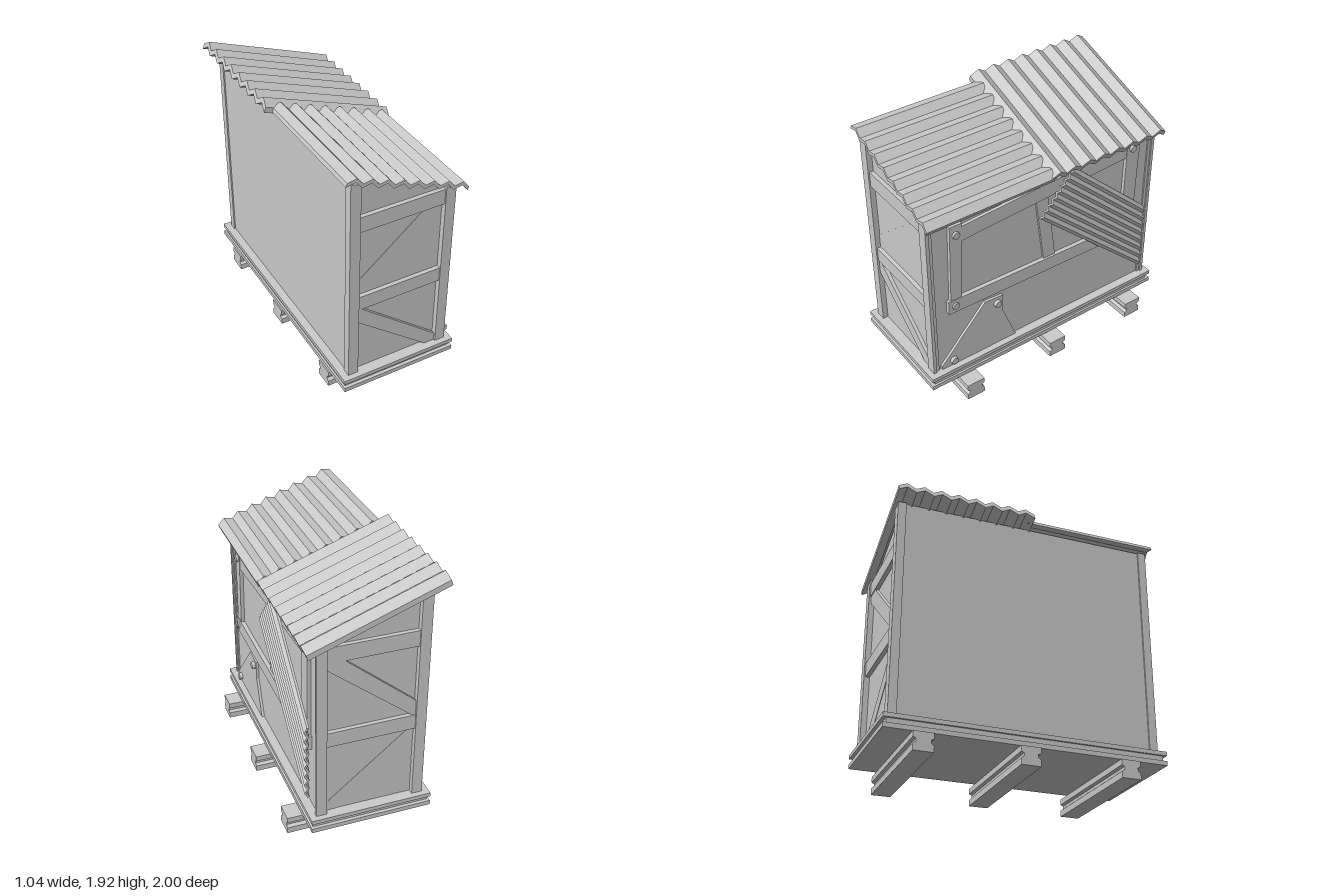
import * as THREE from 'three';

const mat = new THREE.MeshStandardMaterial({ color: 0xcccccc, flatShading: true });
const roofY = x => 1.665 - 0.362 * x; // underside of the sloping roof

export function createModel() {
  const model = new THREE.Group();

  const add = (name, geo) => {
    const m = new THREE.Mesh(geo, mat);
    m.name = name;
    model.add(m);
    return m;
  };
  const box = (name, x0, x1, y0, y1, z0, z1) =>
    add(name, new THREE.BoxGeometry(x1 - x0, y1 - y0, z1 - z0)
      .translate((x0 + x1) / 2, (y0 + y1) / 2, (z0 + z1) / 2));
  const extrude = (pts, depth) => new THREE.ExtrudeGeometry(
    new THREE.Shape(pts.map(p => new THREE.Vector2(...p))), { depth, bevelEnabled: false });
  // outline in (x, y), extruded from z0 to z1
  const slabZ = (name, pts, z0, z1) => add(name, extrude(pts, z1 - z0).translate(0, 0, z0));
  // outline in (z, y), extruded from x0 to x1
  const slabX = (name, pts, x0, x1) => add(name,
    extrude(pts.map(([z, y]) => [-z, y]), x1 - x0).rotateY(Math.PI / 2).translate(x0, 0, 0));
  // upright piece whose top follows the roof slope
  const upright = (name, x0, x1, z0, z1) =>
    slabZ(name, [[x0, 0.23], [x1, 0.23], [x1, roofY(x1)], [x0, roofY(x0)]], z0, z1);

  // zigzag sheet: waves along u, thickness along w, ridges along u x w;
  // len0 and len1 are the ridge lengths at the two side edges
  const corrugated = (name, waves, width, amp, thick, len0, len1, origin, u, w) => {
    const top = [], bottom = [];
    for (let i = 0; i <= waves * 2; i++) {
      const a = (i / (waves * 2)) * width;
      const b = i % 2 ? amp / 2 : -amp / 2;
      top.unshift([a, b + thick / 2]);
      bottom.push([a, b - thick / 2]);
    }
    const geo = extrude([...bottom, ...top], 1);
    const p = geo.attributes.position;
    for (let i = 0; i < p.count; i++) {
      p.setZ(i, p.getZ(i) * (len0 + (len1 - len0) * p.getX(i) / width));
    }
    const U = new THREE.Vector3(...u).normalize(), W = new THREE.Vector3(...w).normalize();
    geo.applyMatrix4(new THREE.Matrix4().makeBasis(U, W, U.clone().cross(W))
      .setPosition(...origin));
    geo.computeVertexNormals();
    return add(name, geo);
  };

  // skids with an I-shaped section
  for (const z of [0.715, -0.01, -0.735]) {
    const half = [[0.07, 0], [0.07, 0.045], [0.05, 0.06], [0.05, 0.08], [0.07, 0.09], [0.07, 0.13]];
    const ring = [...half, ...half.map(([a, b]) => [-a, b]).reverse()];
    slabX('skid', ring.map(([a, y]) => [z - a, y]), -0.47, 0.52);
  }

  // floor platform in three layers
  box('platformBottom', -0.46, 0.41, 0.13, 0.163, -1, 1);
  box('platformCore', -0.445, 0.395, 0.163, 0.2, -0.975, 0.975);
  box('platformTop', -0.46, 0.41, 0.2, 0.23, -1, 1);

  // walled body
  upright('walls', -0.4, 0.345, -0.92, 0.92);

  // corner posts, rails and braces on both ends
  for (const s of [1, -1]) {
    const span = (a, b) => (s > 0 ? [a, b] : [-b, -a]);
    upright('cornerPost', -0.41, -0.335, ...span(0.9, 0.96));
    upright('cornerPost', 0.29, 0.365, ...span(0.935, 0.96));
    upright('sidePost', 0.29, 0.355, ...span(0.91, 0.935));
    box('lowerRail', -0.335, 0.29, 0.78, 0.89, ...span(0.91, 0.95));
    slabZ('topRail', [[-0.335, 1.42], [0.29, 1.42], [0.29, 1.535], [-0.335, 1.535]],
      ...span(0.91, 0.95));
    const low = s > 0 ? 0.945 : 0.923, high = s > 0 ? 0.923 : 0.945;
    slabZ('lowerBrace', [[-0.335, 0.67], [0.21, 0.23], [0.29, 0.23], [0.29, 0.29],
      [-0.31, 0.78], [-0.335, 0.78]], ...span(0.91, low));
    slabZ('upperBrace', [[-0.335, 0.89], [-0.31, 0.89], [0.29, 1.37], [0.29, 1.42],
      [0.17, 1.42], [-0.335, 1.0]], ...span(0.91, high));
  }

  // nailed planks on the long side
  slabX('leftPlank', [[0.8, 0.8], [0.715, 0.8], [0.69, 1.435], [0.785, 1.435]], 0.34, 0.372);
  slabX('rightPlank', [[-0.69, 0.76], [-0.8, 0.76], [-0.815, 1.46], [-0.7, 1.46]], 0.34, 0.372);
  slabX('middlePlank', [[0.01, 0.78], [-0.09, 0.78], [-0.01, 1.36], [0.09, 1.36]], 0.34, 0.36);
  slabX('topPlank', [[0.75, 1.285], [-0.82, 1.39], [-0.82, 1.505], [0.75, 1.4]], 0.34, 0.368);
  slabX('bottomPlank', [[0.82, 0.715], [-0.82, 0.69], [-0.82, 0.795], [0.82, 0.825]], 0.34, 0.376);
  slabX('patchBoard', [[0.89, 0.23], [0.26, 0.23], [0.37, 0.51], [0.37, 0.655],
    [0.52, 0.665], [0.89, 0.26]], 0.34, 0.365);

  // bolt heads
  for (const [z, y] of [[0.74, 1.36], [-0.75, 1.445], [0.765, 0.77], [-0.76, 0.74],
    [0.42, 0.605], [0.795, 0.275]]) {
    add('bolt', new THREE.CylinderGeometry(0.026, 0.03, 0.03, 12)
      .rotateZ(-Math.PI / 2).translate(0.373, y, z));
  }

  // roof sheets, ridges crossing each other
  const slope = [0.94, -0.343, 0], normal = [0.343, 0.94, 0];
  corrugated('frontRoofSheet', 8, 0.95, 0.035, 0.028, 1, 1, [-0.45, 1.86, -0.01], slope, normal);
  corrugated('backRoofSheet', 8, 1.007, 0.042, 0.04, 1.006, 1.006, [-0.505, 1.88, 0.02],
    [0, 0, -1], normal);

  // loose sheet leaning across the window
  corrugated('leaningSheet', 8, 0.418, 0.022, 0.016, 1.295, 0.91, [0.402, 1.21, 0.08],
    [0, 0.31, -0.28], [1, 0, 0]);

  return model;
}
